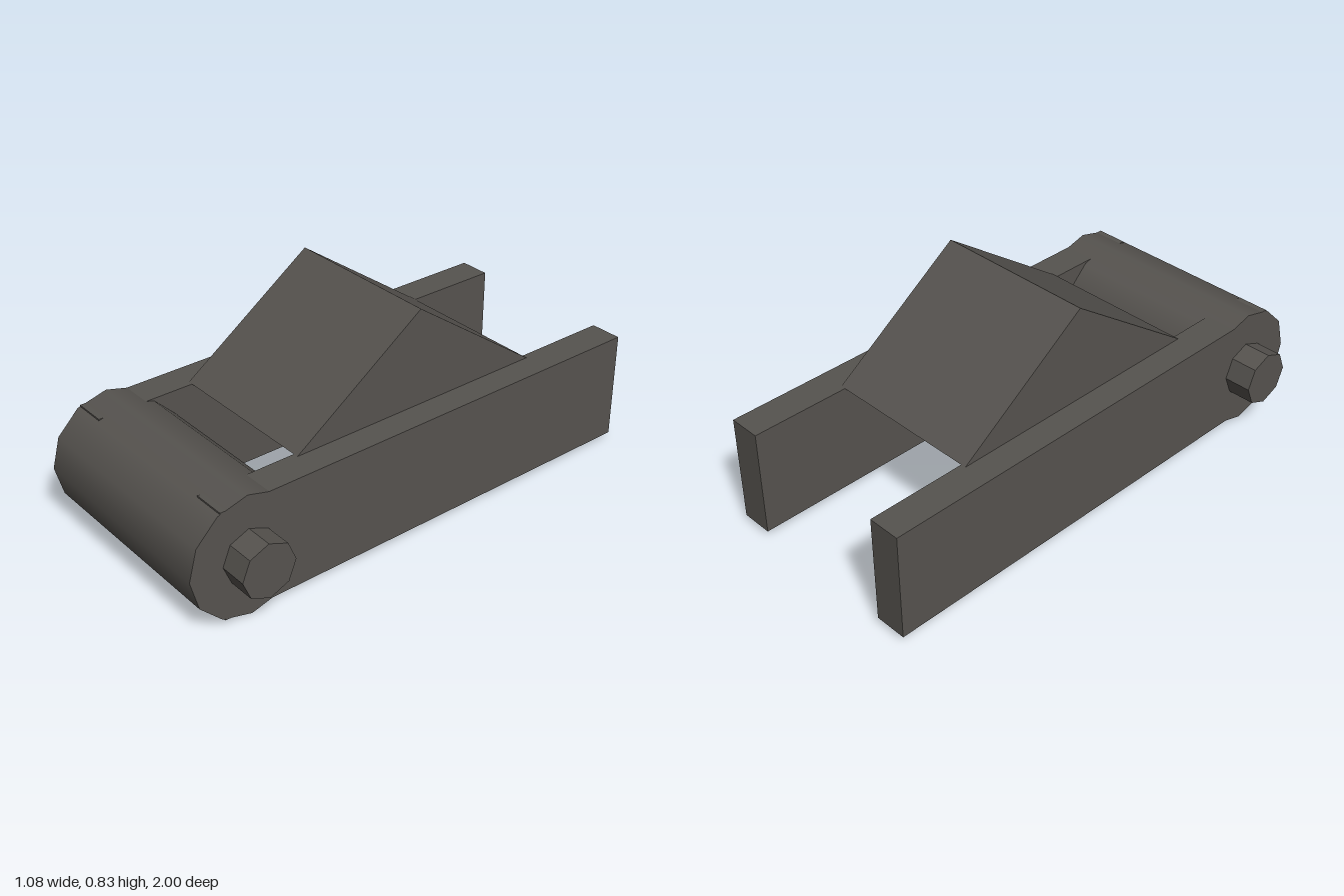
import * as THREE from 'three';

export function createModel() {
  const group = new THREE.Group();
  const color = 0x56534f;
  const smooth = new THREE.MeshStandardMaterial({ color });
  const flat = new THREE.MeshStandardMaterial({ color, flatShading: true });

  const add = (name, geometry, material, x = 0, y = 0, z = 0) => {
    const mesh = new THREE.Mesh(geometry, material);
    mesh.name = name;
    mesh.position.set(x, y, z);
    group.add(mesh);
  };

  // Roller and axle share one sideways axis at the front
  const axisY = 0.2385, axisZ = 0.7615;
  const rod = (radius, length, sides) =>
    new THREE.CylinderGeometry(radius, radius, length, sides).rotateZ(Math.PI / 2);
  add('roller', rod(0.2385, 0.866, 12), smooth, 0, axisY, axisZ);
  add('axle', rod(0.108, 1.084, 8), flat, 0, axisY, axisZ);

  // Two arms running back from the roller
  const armTop = 0.454, armBottom = 0.023, armFront = 0.87, armBack = -1;
  for (const [name, side] of [['leftArm', 1], ['rightArm', -1]]) {
    add(name, new THREE.BoxGeometry(0.128, armTop - armBottom, armFront - armBack), flat,
      side * 0.369, (armTop + armBottom) / 2, (armFront + armBack) / 2);
  }

  // Triangular wedge bridging the arms; shape x maps to -z
  const profile = new THREE.Shape();
  profile.moveTo(-0.478, armTop);
  profile.lineTo(0.608, armTop);
  profile.lineTo(0.065, 0.835);
  profile.closePath();
  const width = 0.65;
  const wedge = new THREE.ExtrudeGeometry(profile, { depth: width, bevelEnabled: false });
  wedge.translate(0, 0, -width / 2).rotateY(Math.PI / 2);
  add('wedge', wedge, flat);

  return group;
}
